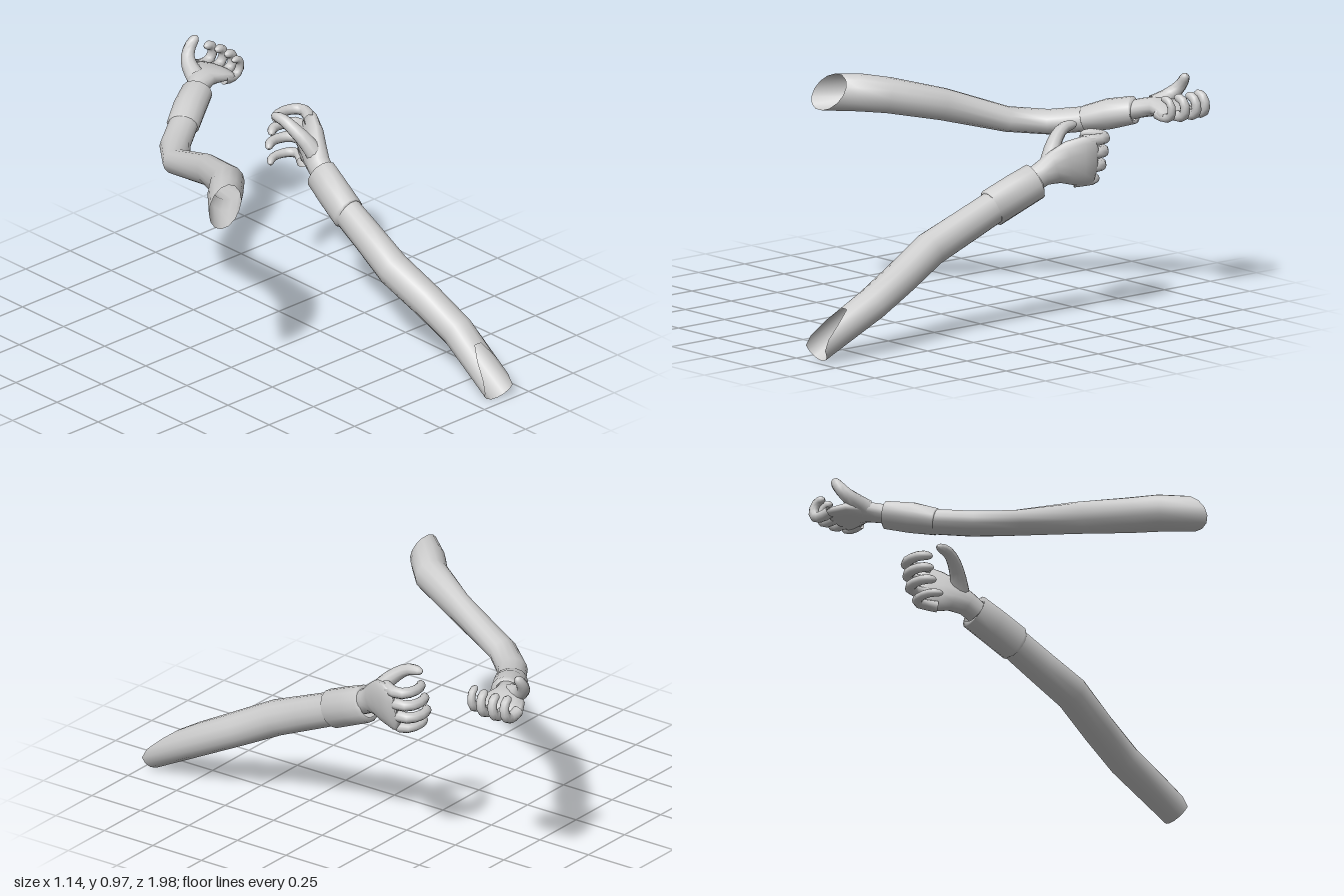
import * as THREE from 'three';

const V = (x, y, z) => new THREE.Vector3(x, y, z);

// Skin oval cross-sections [x, y, z, halfWidth, halfHeight]; rim(angle) slants the first ring along the axis.
function loft(name, rows, material, { sides = 14, up = V(0, 1, 0), rim = null } = {}) {
  const centres = rows.map(r => V(r[0], r[1], r[2]));
  const pos = [], index = [];
  rows.forEach((r, k) => {
    const before = centres[Math.max(k - 1, 0)], after = centres[Math.min(k + 1, rows.length - 1)];
    const t = after.clone().sub(before).normalize();
    const side = t.clone().cross(up).normalize();
    const top = side.clone().cross(t);
    for (let i = 0; i < sides; i++) {
      const a = i / sides * Math.PI * 2;
      const p = centres[k].clone()
        .addScaledVector(side, Math.cos(a) * r[3])
        .addScaledVector(top, Math.sin(a) * r[4]);
      if (rim && k === 0) p.addScaledVector(t, rim(a));
      pos.push(p.x, p.y, p.z);
      if (k < rows.length - 1) {
        const j = (i + 1) % sides, q = k * sides, n = q + sides;
        index.push(q + i, n + i, q + j, q + j, n + i, n + j);
      }
    }
  });
  const g = new THREE.BufferGeometry();
  g.setAttribute('position', new THREE.Float32BufferAttribute(pos, 3));
  g.setIndex(index);
  g.computeVertexNormals();
  const mesh = new THREE.Mesh(g, material);
  mesh.name = name;
  return mesh;
}

// Tapered digit with a rounded tip, along a smooth curve
function digit(name, points, r0, r1, material, up) {
  const curve = new THREE.CatmullRomCurve3(points.map(p => V(...p)));
  const rows = [];
  const steps = [0, 0.15, 0.3, 0.42, 0.54, 0.66, 0.77, 0.87, 0.94, 0.98, 1];
  for (const u of steps) {
    const p = curve.getPointAt(u);
    const end = u > 0.87 ? Math.sqrt(Math.max(0.0004, 1 - ((u - 0.87) / 0.13) ** 2)) : 1;
    const r = (r0 + (r1 - r0) * u) * end;
    rows.push([p.x, p.y, p.z, r, r]);
  }
  return loft(name, rows, material, { sides: 10, up });
}

export function createModel() {
  const grey = new THREE.MeshStandardMaterial({ color: 0xcccccc, side: THREE.DoubleSide });
  grey.name = 'plain grey';
  const model = new THREE.Group();
  model.name = 'armPair';

  // Low arm, reaching back with the thumb upward
  const lowArm = new THREE.Group();
  lowArm.name = 'lowArm';
  lowArm.add(loft('lowSleeve', [
    [0.36, 0.11, 0.885, 0.07, 0.064],
    [0.38, 0.21, 0.70, 0.07, 0.07],
    [0.365, 0.295, 0.53, 0.07, 0.073],
    [0.34, 0.385, 0.35, 0.07, 0.076],
    [0.358, 0.455, 0.19, 0.064, 0.074],
    [0.372, 0.52, 0.04, 0.06, 0.072],
    [0.385, 0.56, -0.05, 0.055, 0.068],
  ], grey, { rim: a => -0.11 + 0.21 * Math.max(0, Math.sin(a)) ** 2 }));
  lowArm.add(loft('lowCuff', [
    [0.37, 0.518, 0.045, 0.06, 0.07],
    [0.37, 0.52, 0.04, 0.066, 0.083],
    [0.39, 0.57, -0.07, 0.067, 0.082],
    [0.408, 0.61, -0.16, 0.066, 0.08],
    [0.408, 0.611, -0.162, 0.05, 0.06],
  ], grey));
  const tilt = V(0.25, 1, 0);
  lowArm.add(loft('lowPalm', [
    [0.40, 0.59, -0.10, 0.045, 0.05],
    [0.42, 0.64, -0.19, 0.048, 0.055],
    [0.445, 0.665, -0.24, 0.048, 0.075],
    [0.475, 0.68, -0.29, 0.044, 0.10],
    [0.505, 0.687, -0.345, 0.036, 0.112],
    [0.523, 0.688, -0.385, 0.026, 0.105],
    [0.53, 0.688, -0.40, 0.003, 0.05],
  ], grey, { up: tilt }));
  [0.775, 0.715, 0.655, 0.597].forEach((y, i) => {
    const s = (0.775 - y) * -0.25, r = i === 3 ? 0.021 : 0.024;
    const back = i === 3 ? 0.025 : i === 0 ? 0.008 : 0;
    lowArm.add(digit('lowFinger' + (i + 1), [
      [0.50 + s, y - 0.005, -0.33],
      [0.537 + s, y, -0.395],
      [0.53 + s, y, -0.445 + back],
      [0.48 + s, y, -0.468 + back],
      [0.425 + s, y, -0.46 + back],
      [0.39 + s, y - 0.005, -0.43 + back],
    ], r + 0.003, r - 0.005, grey, V(0, 1, 0)));
  });
  lowArm.add(digit('lowThumb', [
    [0.435, 0.66, -0.21], [0.41, 0.725, -0.25], [0.385, 0.775, -0.30],
    [0.372, 0.805, -0.35], [0.368, 0.81, -0.42],
  ], 0.042, 0.019, grey, V(1, 0, 0)));
  model.add(lowArm);

  // High arm, bent across the front with the palm upward
  const highArm = new THREE.Group();
  highArm.name = 'highArm';
  highArm.add(loft('highSleeve', [
    [-0.475, 0.892, 0.205, 0.066, 0.077],
    [-0.39, 0.892, 0.115, 0.074, 0.079],
    [-0.30, 0.883, 0.03, 0.073, 0.075],
    [-0.205, 0.83, -0.185, 0.051, 0.068],
    [-0.125, 0.74, -0.465, 0.062, 0.053],
    [-0.015, 0.728, -0.597, 0.064, 0.052],
    [0.12, 0.75, -0.69, 0.062, 0.052],
    [0.20, 0.775, -0.74, 0.055, 0.05],
  ], grey, { rim: a => 0.063 * Math.cos(a) + 0.042 * Math.sin(a) }));
  highArm.add(loft('highCuff', [
    [0.112, 0.749, -0.685, 0.062, 0.052],
    [0.115, 0.75, -0.687, 0.07, 0.055],
    [0.20, 0.777, -0.742, 0.07, 0.064],
    [0.295, 0.802, -0.797, 0.066, 0.058],
    [0.297, 0.802, -0.798, 0.045, 0.044],
  ], grey));
  highArm.add(loft('highPalm', [
    [0.25, 0.79, -0.775, 0.045, 0.04],
    [0.32, 0.812, -0.818, 0.047, 0.04],
    [0.365, 0.822, -0.848, 0.062, 0.04],
    [0.41, 0.82, -0.868, 0.092, 0.036],
    [0.455, 0.812, -0.88, 0.108, 0.03],
    [0.485, 0.808, -0.885, 0.103, 0.024],
    [0.50, 0.806, -0.888, 0.05, 0.003],
  ], grey));
  [-0.97, -0.915, -0.855, -0.795].forEach((z, i) => {
    const dx = [-0.005, 0.005, 0.003, -0.012][i], r = i === 3 ? 0.02 : 0.023;
    highArm.add(digit('highFinger' + (i + 1), [
      [0.455 + dx, 0.81, z],
      [0.505 + dx, 0.8, z - 0.004],
      [0.54 + dx, 0.815, z - 0.004],
      [0.548 + dx, 0.85, z],
      [0.53 + dx, 0.88, z + 0.005],
      [0.495 + dx, 0.883, z + 0.01],
    ], r + 0.002, r - 0.005, grey, V(0, 0, 1)));
  });
  highArm.add(digit('highThumb', [
    [0.35, 0.825, -0.86], [0.365, 0.85, -0.915], [0.385, 0.88, -0.95],
    [0.41, 0.915, -0.962], [0.442, 0.955, -0.955],
  ], 0.042, 0.019, grey, V(1, 0, 0)));
  model.add(highArm);

  return model;
}
